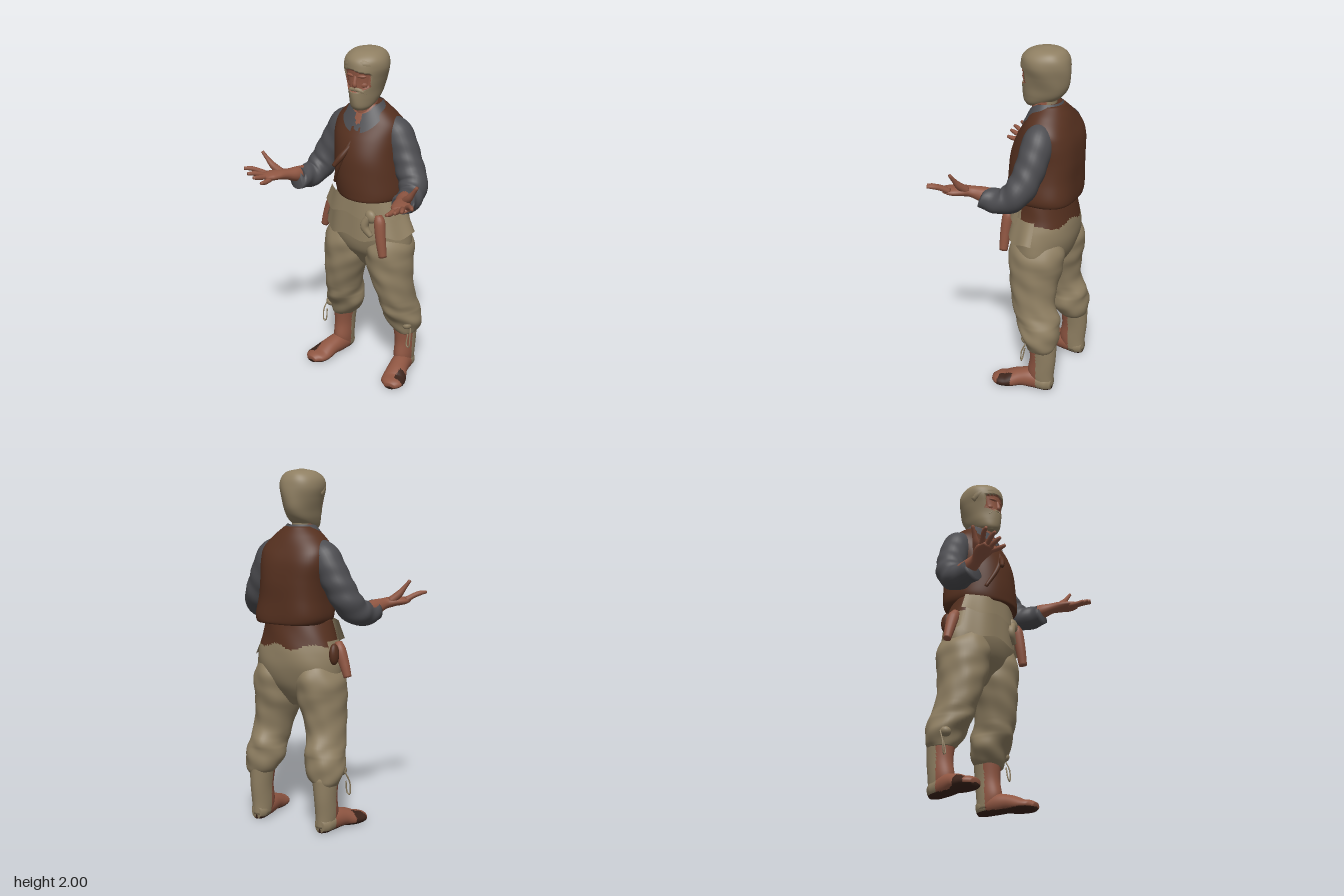
import * as THREE from 'three';

const mat = (name, color, side = THREE.FrontSide) => {
  const m = new THREE.MeshStandardMaterial({ color, side });
  m.name = name;
  return m;
};

export function createModel() {
  const tan = mat('tanCloth', 0x8f7f62, THREE.DoubleSide);
  const skin = mat('skin', 0x8f5642);
  const vestBrown = mat('vestBrown', 0x55301f);
  const grey = mat('shirtGrey', 0x4c4c50, THREE.DoubleSide);
  const dark = mat('soleDark', 0x3c241b);
  const model = new THREE.Group();

  const add = (name, geometry, material, parent = model) => {
    const mesh = new THREE.Mesh(geometry, material);
    mesh.name = name;
    parent.add(mesh);
    return mesh;
  };

  // Closed tube of rings with end caps; pick(point) chooses the material of each face
  function surface(name, n, m, at, mats, pick, parent) {
    const list = [].concat(mats), pts = [], faces = list.map(() => []);
    for (let i = 0; i <= n; i++)
      for (let j = 0; j < m; j++) pts.push(at(i / n, (j / m) * Math.PI * 2));
    const mean = (k) => pts.slice(k, k + m).reduce((a, p) => a.add(p), new THREE.Vector3()).divideScalar(m);
    const first = mean(0), last = mean(n * m);
    const c0 = pts.push(first) - 1, c1 = pts.push(last) - 1;
    const tri = (...t) => {
      const c = t.reduce((a, k) => a.add(pts[k]), new THREE.Vector3()).divideScalar(3);
      faces[pick ? pick(c) : 0].push(...t);
    };
    for (let j = 0; j < m; j++) {
      const k = (j + 1) % m;
      tri(c0, k, j);
      tri(c1, n * m + j, n * m + k);
      for (let i = 0; i < n; i++) {
        const a = i * m + j, b = i * m + k;
        tri(a, b, a + m);
        tri(b, b + m, a + m);
      }
    }
    const g = new THREE.BufferGeometry().setFromPoints(pts);
    g.setIndex(faces.flat());
    let start = 0;
    faces.forEach((f, i) => { g.addGroup(start, f.length, i); start += f.length; });
    g.computeVertexNormals();
    return add(name, g, list.length > 1 ? list : list[0], parent);
  }

  const spline = (rows, f, type) => new THREE.CatmullRomCurve3(rows.map((r) => new THREE.Vector3(...f(r))), false, type);

  // Upright body part: rows of [y, x, z, halfWidth, halfDepth] from bottom to top
  function loft(name, rows, mats, { pick, n = 40, m = 40, fold = () => 1, parent } = {}) {
    const mid = spline(rows, (r) => [r[1], r[0], r[2]], 'catmullrom'), rad = spline(rows, (r) => [r[3], 0, r[4]], 'catmullrom');
    return surface(name, n, m, (t, a) => {
      const c = mid.getPoint(t), r = rad.getPoint(t), k = fold(c.y, a);
      return new THREE.Vector3(c.x + Math.sin(a) * r.x * k, c.y, c.z + Math.cos(a) * r.z * k);
    }, mats, pick, parent);
  }

  // Limb along a path: rows of [x, y, z, radius, flatness]
  function limb(name, rows, mats, { pick, n = 20, m = 16, fold = () => 1, parent } = {}) {
    const path = spline(rows, (r) => r.slice(0, 3), 'centripetal'), rad = spline(rows, (r) => [r[3], r[4] ?? 1, 0], 'catmullrom');
    const { normals, binormals } = path.computeFrenetFrames(n);
    return surface(name, n, m, (u, a) => {
      const i = Math.round(u * n), t = path.getUtoTmapping(u), r = rad.getPoint(t);
      const d = normals[i].clone().multiplyScalar(Math.cos(a)).addScaledVector(binormals[i], Math.sin(a));
      d.multiplyScalar(r.x * fold(u, a));
      d.y *= r.y;
      const p = path.getPoint(t).add(d);
      p.y = Math.max(p.y, 0);
      return p;
    }, mats, pick, parent);
  }

  // Open cloth sheet, at(u, v) gives [x, y, z]
  function sheet(name, at, material, nu = 30, nv = 6) {
    const g = new THREE.PlaneGeometry(1, 1, nu, nv), p = g.attributes.position;
    for (let i = 0; i < p.count; i++) p.setXYZ(i, ...at(p.getX(i) + 0.5, p.getY(i) + 0.5));
    g.computeVertexNormals();
    return add(name, g, material);
  }

  function blob(name, material, pos, size, rot = [0, 0, 0], parent = model) {
    const b = add(name, new THREE.SphereGeometry(1, 20, 14), material, parent);
    b.position.set(...pos);
    b.scale.set(...size);
    b.rotation.set(...rot);
  }

  // Vest, broad across the shoulder blades, with the open shirt and throat at the front
  const blades = (y, a) => (Math.cos(a) < 0 ? 0.12 * Math.sin(2 * a) ** 2 * THREE.MathUtils.smoothstep(1.66 - y, 0, 0.12) : 0);
  loft('vest', [
    [1.175, 0.035, -0.13, 0.17, 0.16], [1.16, 0.035, -0.13, 0.195, 0.195], [1.2, 0.03, -0.132, 0.212, 0.203],
    [1.3, 0.02, -0.13, 0.203, 0.202], [1.4, 0.01, -0.135, 0.2, 0.197], [1.5, 0, -0.147, 0.207, 0.175],
    [1.58, 0, -0.155, 0.197, 0.138], [1.64, 0, -0.155, 0.148, 0.11], [1.69, 0, -0.15, 0.085, 0.08],
  ], [vestBrown, grey, skin], {
    n: 64, m: 80,
    fold: (y, a) => 1 + 0.02 * Math.sin(3 * a + y * 22) * (1.65 - y) + blades(y, a),
    pick: (p) => (p.z < -0.12 ? 0 : p.y > 1.575 + Math.abs(p.x) * 1.6 ? 2 : p.y > 1.545 + Math.abs(p.x) * 1.1 ? 1 : 0),
  });
  limb('vestEdge', [[0, 1.53, 0.0, 0.01], [-0.04, 1.43, 0.046, 0.014], [-0.08, 1.34, 0.048, 0.014], [-0.13, 1.23, 0.01, 0.01]], vestBrown);
  limb('vestToggle', [[-0.015, 1.47, 0.03, 0.01], [-0.05, 1.41, 0.066, 0.018], [-0.085, 1.355, 0.092, 0.012]], vestBrown);

  // Collar folded over around the neck: narrow behind, two broad points in front
  sheet('collar', (u, v) => {
    const a = 0.22 + u * (Math.PI * 2 - 0.44), f = Math.max(0, Math.cos(a) * 0.75 + 0.25), w = (1 - v) * (0.3 + 0.7 * f ** 0.5);
    return [Math.sin(a) * (0.085 + 0.06 * w), 1.7 - 0.065 * w - f ** 2 * (0.06 + 0.035 * w), -0.125 + Math.cos(a) * (0.088 + 0.045 * w)];
  }, grey, 48, 4);

  // Head: hair and beard around a slightly recessed face
  loft('neck', [[1.54, 0, -0.12, 0.075, 0.08], [1.62, 0, -0.115, 0.065, 0.07], [1.74, 0, -0.115, 0.06, 0.07]], [skin, tan],
    { pick: (p) => (p.z < -0.15 && p.y > 1.67 ? 1 : 0) });
  const inFace = (x, y) => Math.abs(x) < 0.078 && y > 1.775 + x * x * 5 && y < 1.9 - Math.abs(x + 0.02) * 0.25;
  loft('head', [
    [1.668, 0, -0.05, 0.04, 0.04], [1.69, 0, -0.075, 0.062, 0.08], [1.73, 0, -0.102, 0.077, 0.115],
    [1.78, 0, -0.116, 0.088, 0.133], [1.84, 0, -0.122, 0.106, 0.138], [1.9, 0, -0.122, 0.122, 0.139],
    [1.95, 0, -0.122, 0.114, 0.127], [1.985, 0, -0.13, 0.078, 0.086], [2.0, 0, -0.13, 0.015, 0.015],
  ], [tan, skin], {
    n: 80, m: 96,
    fold: (y, a) => (Math.cos(a) > 0 && inFace(Math.sin(a) * 0.11, y) ? 0.92 : 1) + 0.012 * Math.sin(5 * a + y * 30),
    pick: (p) => (p.z > -0.1 && inFace(p.x, p.y) ? 1 : 0),
  });
  limb('nose', [[0, 1.865, -0.005, 0.01], [0, 1.835, 0.004, 0.012], [0, 1.812, 0.006, 0.014], [0, 1.803, 0, 0.008]], skin);
  limb('fringe', [[0.09, 1.915, -0.075, 0.025], [0.04, 1.928, -0.03, 0.033], [-0.03, 1.922, -0.026, 0.034], [-0.08, 1.9, -0.07, 0.034], [-0.1, 1.86, -0.11, 0.02]], tan);
  for (const s of [-1, 1]) {
    limb('moustache', [[0, 1.79, 0.0, 0.013], [s * 0.03, 1.783, -0.006, 0.013], [s * 0.055, 1.762, -0.025, 0.007]], tan);
    blob('brow', skin, [s * 0.035, 1.864, -0.008], [0.028, 0.01, 0.012], [0, s * 0.3, 0]);
    blob('cheek', skin, [s * 0.04, 1.815, -0.022], [0.024, 0.02, 0.016], [0, s * 0.4, 0]);
  }

  // Arms with bent sleeves and open, palm-up hands
  for (const s of [-1, 1]) {
    const arm = new THREE.Group();
    arm.name = s > 0 ? 'leftArm' : 'rightArm';
    model.add(arm);
    const side = (rows) => rows.map(([x, ...r]) => [x * s, ...r]);
    const wide = s > 0 ? 0.012 : 0;
    limb('sleeve', side([
      [0.12, 1.58, -0.16, 0.06], [0.17, 1.53, -0.165, 0.085], [0.215, 1.45, -0.16, 0.086], [0.26, 1.36, -0.145, 0.084],
      [0.298 + wide, 1.275, -0.115, 0.082], [0.322 + wide, 1.222, -0.055, 0.074], [0.337 + wide, 1.215, 0.015, 0.066],
      [0.345 + wide, 1.225, 0.08, 0.06], [0.345 + wide, 1.228, 0.07, 0.042],
    ]), grey, { n: 44, m: 28, parent: arm, fold: (u, a) => 1 + 0.06 * Math.sin(u * 38 + 2 * a) * u });
    limb('forearm', side([
      [0.345, 1.232, 0, 0.046], [0.362, 1.245, 0.08, 0.042], [0.382, 1.258, 0.135, 0.036, 0.85],
      [0.408, 1.265, 0.18, 0.049, 0.55], [0.433, 1.267, 0.225, 0.055, 0.42], [0.445, 1.27, 0.265, 0.04, 0.38],
    ]), skin, { n: 28, parent: arm });
    const fingers = [
      [[0.405, 1.268, 0.15], [0.45, 1.31, 0.172], [0.475, 1.342, 0.18], [0.508, 1.388, 0.19]],
      [[0.465, 1.272, 0.22], [0.495, 1.295, 0.25], [0.525, 1.31, 0.28], [0.548, 1.315, 0.31]],
      [[0.452, 1.27, 0.24], [0.47, 1.285, 0.275], [0.487, 1.295, 0.305], [0.502, 1.3, 0.337]],
      [[0.437, 1.268, 0.25], [0.445, 1.272, 0.28], [0.453, 1.278, 0.31], [0.46, 1.285, 0.34]],
      [[0.41, 1.262, 0.24], [0.41, 1.256, 0.275], [0.41, 1.256, 0.305], [0.41, 1.262, 0.337]],
    ];
    fingers.forEach((f, i) => {
      const k = i ? 1 : 1.4, radii = [0.017, 0.0145, 0.0135, 0.009];
      limb(i ? 'finger' : 'thumb', side(f.map((p, j) => [...p, radii[j] * (j < 2 ? k : 1)])), skin, { n: 12, m: 10, parent: arm });
    });
  }

  // Trouser seat, with the brown waistcloth showing behind
  loft('hips', [
    [0.69, 0.008, -0.15, 0.03, 0.05], [0.76, 0.01, -0.15, 0.19, 0.1], [0.83, 0.015, -0.145, 0.255, 0.145], [0.92, 0.01, -0.145, 0.262, 0.172],
    [1.0, 0.01, -0.145, 0.25, 0.174], [1.08, 0.01, -0.14, 0.222, 0.168], [1.18, 0.02, -0.13, 0.195, 0.16],
  ], [tan, vestBrown], {
    n: 48, m: 72,
    fold: (y, a) => 1 + 0.01 * Math.sin(6 * a + y * 25),
    pick: (p) => (p.z < -0.08 && p.y > 1.04 + 0.015 * Math.sin(p.x * 30) ? 1 : 0),
  });

  // Sash, front flap and hip flaps wrapped around the hips
  const wrap = (a0, a1, top, low, flare) => (u, v) => {
    const a = a0 + u * (a1 - a0), w = 1 - v, r = 1.03 + flare * w + 0.015 * Math.sin(a * 9);
    return [0.01 + Math.sin(a) * r * (0.225 + 0.03 * w), top - (top - low) * w - 0.012 * w * Math.sin(a * 7), -0.143 + Math.cos(a) * r * 0.173];
  };
  sheet('sash', wrap(-1.2, 1.2, 1.17, 1.06, 0.05), tan);
  sheet('frontFlap', wrap(-1.15, 0.6, 1.11, 0.92, 0.03), tan);
  sheet('leftHipFlap', wrap(0.7, 1.75, 1.07, 0.94, 0.1), tan);
  sheet('rightHipFlap', wrap(-1.9, -1.2, 1.07, 0.95, 0.04), tan);
  blob('sashKnot', tan, [0.12, 1.07, 0.025], [0.035, 0.04, 0.025], [0, 0, 0.5]);
  limb('sashTail', [[0.11, 1.07, 0.03, 0.02], [0.085, 1.01, 0.035, 0.025], [0.125, 0.95, 0.03, 0.014]], tan);

  // Belt pouches hanging at the hips
  limb('leftHolster', [[0.165, 1.085, 0.015, 0.02], [0.175, 1.05, 0.02, 0.032], [0.19, 0.95, 0.03, 0.03], [0.208, 0.845, 0.035, 0.024]], skin);
  limb('rightHolster', [[-0.235, 1.06, -0.12, 0.02], [-0.25, 1.02, -0.13, 0.034], [-0.28, 0.94, -0.13, 0.029], [-0.302, 0.87, -0.13, 0.022]], skin);
  blob('sidePouch', vestBrown, [-0.245, 1.0, -0.18], [0.025, 0.06, 0.035]);

  // Legs: baggy trousers gathered under the knee, stockings and shoes
  for (const s of [-1, 1]) {
    const leg = new THREE.Group();
    leg.name = s > 0 ? 'leftLeg' : 'rightLeg';
    model.add(leg);
    const shift = s > 0 ? 0.012 : 0;
    loft('trouserLeg', [
      [0.27, 0.22, -0.215, 0.066, 0.076], [0.3, 0.21, -0.215, 0.09, 0.092], [0.36, 0.2, -0.205, 0.115, 0.108],
      [0.42, 0.193, -0.187, 0.11, 0.127], [0.46, 0.188, -0.177, 0.104, 0.133], [0.55, 0.175, -0.147, 0.108, 0.127],
      [0.65, 0.155, -0.138, 0.122, 0.14], [0.72, 0.142, -0.14, 0.135, 0.15], [0.78, 0.138, -0.142, 0.138, 0.157], [0.86, 0.135, -0.145, 0.132, 0.162], [0.96, 0.12, -0.145, 0.09, 0.125],
    ].map(([y, x, ...r]) => [y, s * x + shift, ...r]), tan, {
      n: 64, m: 48, parent: leg,
      fold: (y, a) => 1 + (y < 0.5 ? 0.035 : 0.015) * Math.sin(3 * a * s + y * 48) + 0.012 * Math.sin(7 * a + y * 20),
    });
    loft('shin', [[0.03, 0.218, -0.225, 0.05, 0.065], [0.1, 0.22, -0.212, 0.057, 0.08], [0.2, 0.22, -0.224, 0.06, 0.078], [0.32, 0.215, -0.22, 0.072, 0.085]]
      .map(([y, x, ...r]) => [y, s * x, ...r]), [skin, tan], { m: 64, n: 16, parent: leg, pick: (p) => (p.z < -0.205 ? 1 : 0) });
    limb('shoe', [
      [0.218, 0.04, -0.285, 0.03, 1.3], [0.22, 0.045, -0.25, 0.052, 1], [0.23, 0.055, -0.16, 0.057, 1.05], [0.245, 0.05, -0.09, 0.06, 0.85],
      [0.265, 0.03, -0.02, 0.072, 0.55], [0.278, 0.026, 0.03, 0.066, 0.5], [0.283, 0.022, 0.065, 0.034, 0.6],
    ].map(([x, ...r]) => [x * s, ...r]), [skin, tan, dark], {
      n: 60, m: 40, parent: leg,
      pick: (p) => (p.y < 0.016 || (p.z > -0.06 && p.z < 0.02 && p.x * s > 0.285) ? 2 : p.z < -0.205 ? 1 : 0),
    });
    // Hanging laces and ragged tie at the gathered cuff
    const lace = [[0.29, 0.34, -0.16], [0.305, 0.27, -0.13], [0.3, 0.2, -0.125], [0.285, 0.21, -0.125], [0.285, 0.28, -0.14]];
    limb('lace', lace.map(([x, y, z]) => [s * (x + (s < 0 ? 0.015 : 0)), y, z, 0.004]), tan, { n: 24, m: 8, parent: leg });
    blob('cuffTie', tan, [s * 0.275, 0.34, -0.15], [0.032, 0.028, 0.035], [0, 0, s * 0.5], leg);
  }
  return model;
}
